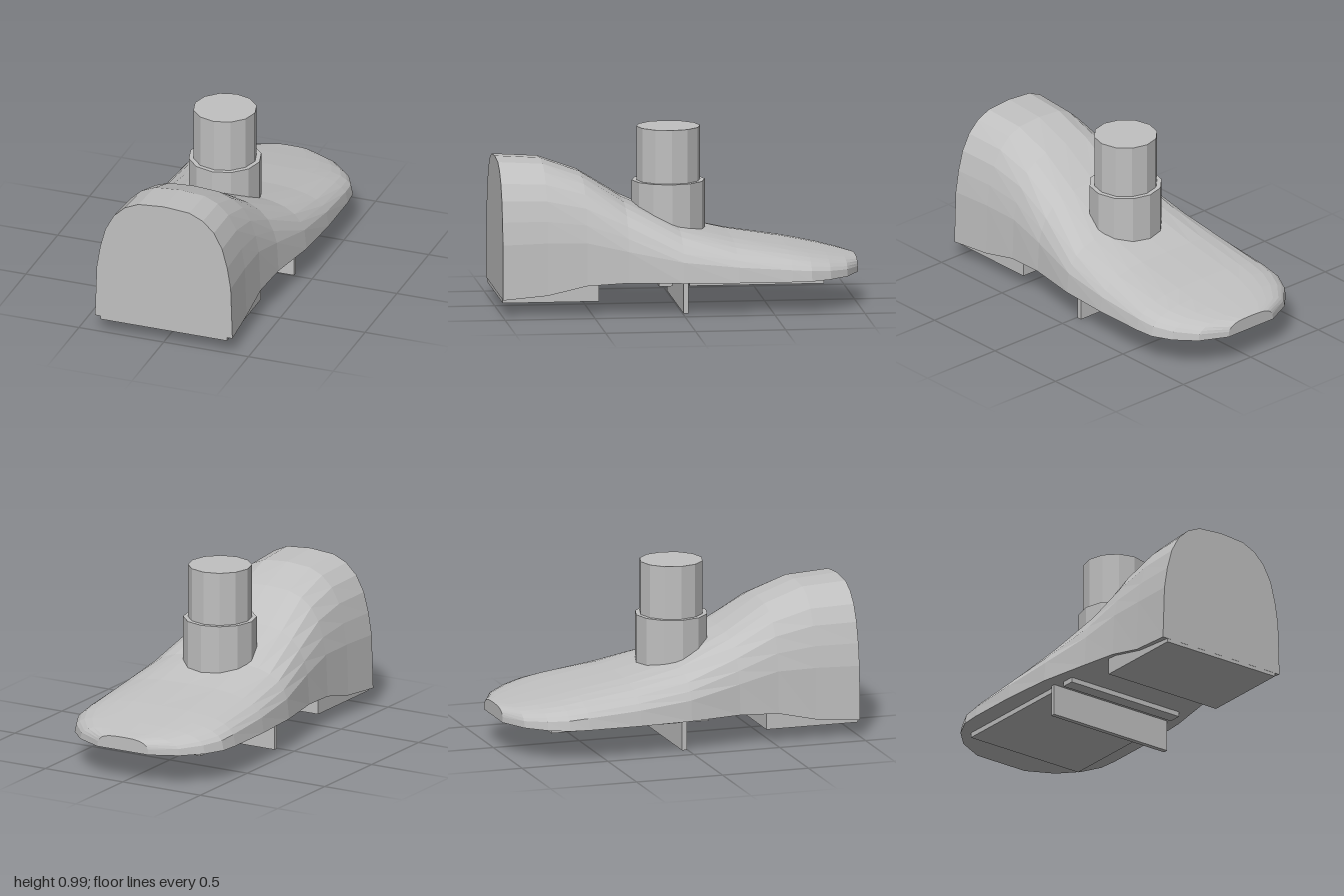
import * as THREE from 'three';

// Half cross-section from the lower edge to the crown: [width fraction, height fraction]
const HALF = [[1, 0], [0.975, 0.41], [0.925, 0.577], [0.85, 0.73], [0.73, 0.852], [0.57, 0.935], [0.37, 0.984]];
const PROFILE = [...HALF, [0, 1], ...HALF.map(([x, y]) => [-x, y]).reverse()];

// Stations along the body: [z, half width, bottom, top]
const STATIONS = [
  [1, 0.405, 0.095, 0.84],
  [0.75, 0.395, 0.115, 0.825],
  [0.53, 0.395, 0.165, 0.745],
  [0.3, 0.415, 0.18, 0.6],
  [0, 0.467, 0.18, 0.46],
  [-0.3, 0.485, 0.18, 0.388],
  [-0.6, 0.485, 0.18, 0.338],
  [-0.71, 0.475, 0.18, 0.316],
  [-0.82, 0.42, 0.18, 0.294],
  [-0.925, 0.32, 0.18, 0.272],
  [-1, 0.165, 0.18, 0.257],
];

// Loft the profile through every station and cap both ends
function bodyGeometry() {
  const n = PROFILE.length;
  const positions = [];
  const index = [];
  for (const [z, w, bottom, top] of STATIONS) {
    for (const [px, py] of PROFILE) positions.push(px * w, bottom + py * (top - bottom), z);
  }
  const last = (STATIONS.length - 1) * n;
  for (let r = 0; r < last; r += n) {
    for (let i = 0; i < n; i++) {
      const j = (i + 1) % n;
      index.push(r + i, r + n + i, r + j, r + j, r + n + i, r + n + j);
    }
  }
  for (let i = 1; i < n - 1; i++) {
    index.push(0, i, i + 1, last, last + i + 1, last + i);
  }
  const geometry = new THREE.BufferGeometry();
  geometry.setAttribute('position', new THREE.Float32BufferAttribute(positions, 3));
  geometry.setIndex(index);
  const flat = geometry.toNonIndexed();
  flat.computeVertexNormals();
  return flat;
}

export function createModel() {
  const group = new THREE.Group();
  const grey = new THREE.MeshStandardMaterial({ color: 0xc0c0c0, flatShading: true });
  grey.name = 'light grey';

  function add(name, geometry, x = 0, y = 0, z = 0) {
    const mesh = new THREE.Mesh(geometry, grey);
    mesh.name = name;
    mesh.position.set(x, y, z);
    group.add(mesh);
  }
  function addBox(name, halfWidth, y0, y1, z0, z1) {
    add(name, new THREE.BoxGeometry(2 * halfWidth, y1 - y0, z1 - z0), 0, (y0 + y1) / 2, (z0 + z1) / 2);
  }
  function addPost(name, radius, y0, y1) {
    add(name, new THREE.CylinderGeometry(radius, radius, y1 - y0, 12), 0, (y0 + y1) / 2, 0.035);
  }

  add('footBody', bodyGeometry());

  // Stepped ankle post
  addPost('ankleCollar', 0.203, 0.3, 0.69);
  addPost('anklePost', 0.177, 0.6, 0.99);

  // Plates and bars under the sole
  addBox('frontSolePlate', 0.373, 0.075, 0.2, 0.465, 0.999);
  addBox('smallSoleBar', 0.373, 0.152, 0.2, 0.055, 0.13);
  addBox('soleFin', 0.392, 0, 0.2, -0.032, -0.005);
  addBox('backSolePlate', 0.373, 0.152, 0.19, -0.787, -0.04);

  return group;
}
